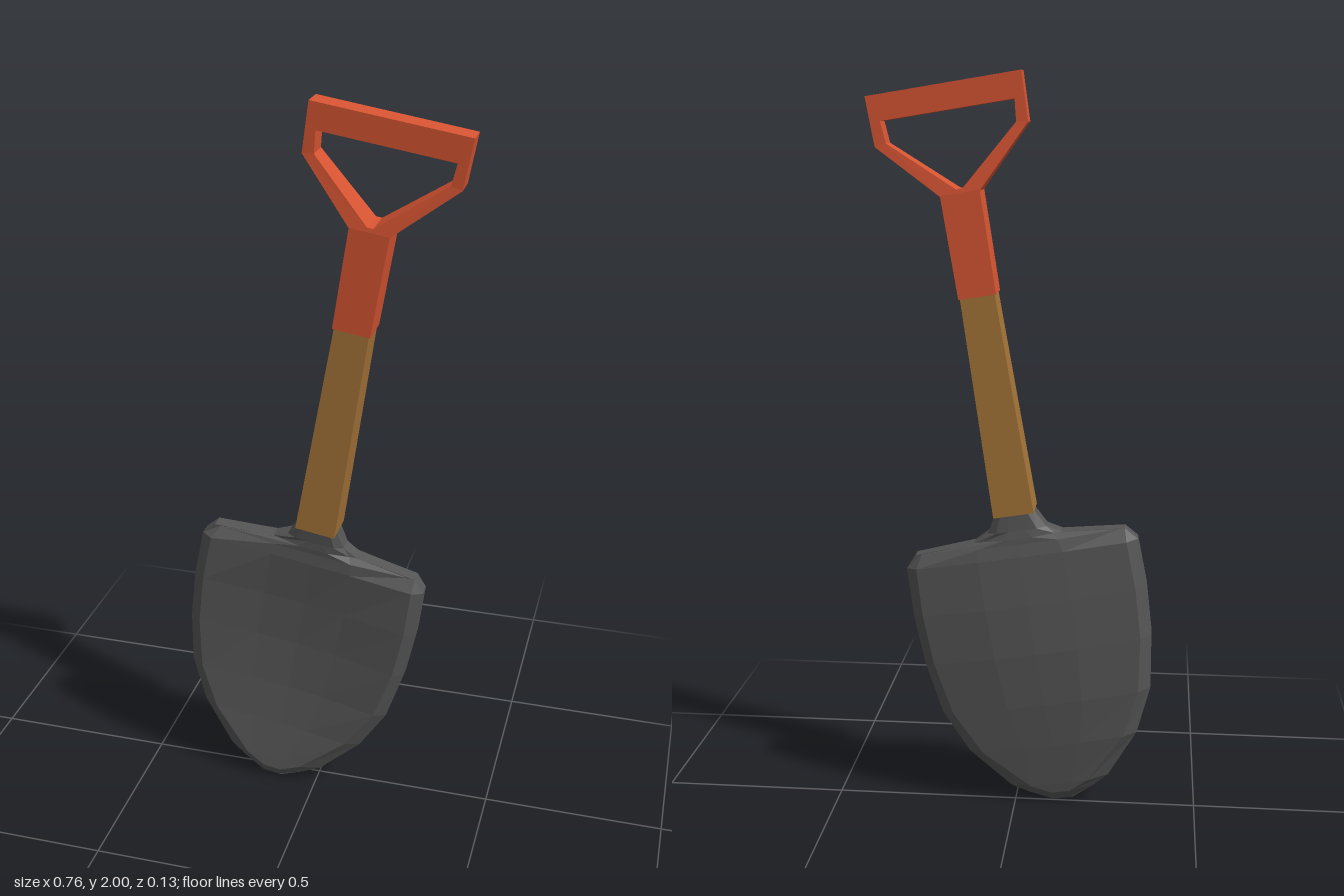
import * as THREE from 'three';

const paint = (color) => new THREE.MeshStandardMaterial({ color, flatShading: true });

// Joins equal-sized rings of points (counter-clockwise seen from above, bottom to top) and caps both ends
function loft(rings) {
  const n = rings[0].length;
  const index = [];
  for (let j = 0; j < rings.length - 1; j++) {
    for (let i = 0; i < n; i++) {
      const a = j * n + i, b = j * n + (i + 1) % n;
      index.push(a, b, b + n, a, b + n, a + n);
    }
  }
  const last = (rings.length - 1) * n;
  const half = n / 2;
  // Front half runs left to right, back half returns, so caps are strips between them
  for (let i = 0; i < half - 1; i++) {
    const f0 = i, f1 = i + 1, b0 = n - 1 - i, b1 = n - 2 - i;
    index.push(f0, b1, f1, f0, b0, b1);
    index.push(last + f0, last + f1, last + b1, last + f0, last + b1, last + b0);
  }
  const geometry = new THREE.BufferGeometry();
  geometry.setAttribute('position', new THREE.Float32BufferAttribute(rings.flat(2), 3));
  geometry.setIndex(index);
  const flat = geometry.toNonIndexed();
  flat.computeVertexNormals();
  return flat;
}

// Dished mid-surface of the blade
function dish(u, v) {
  const t = Math.min(1, (v + 0.845) / 0.84);
  const bow = Math.sin(Math.PI * t);
  return 0.025 - 0.025 * t + bow * (0.03 * (u / 0.32) ** 2 - 0.035);
}

function bladeGeometry() {
  // height, outer half width, inner half width, half thickness at rim / inner line / middle
  const rows = [
    [-0.847, 0.027, 0.02, 0.02, 0.02, 0.02],
    [-0.815, 0.092, 0.025, 0.02, 0.044, 0.044],
    [-0.787, 0.137, 0.08, 0.02, 0.045, 0.045],
    [-0.666, 0.236, 0.196, 0.02, 0.045, 0.045],
    [-0.54, 0.292, 0.258, 0.02, 0.045, 0.045],
    [-0.39, 0.316, 0.286, 0.02, 0.045, 0.045],
    [-0.25, 0.323, 0.293, 0.02, 0.045, 0.045],
    [-0.115, 0.318, 0.288, 0.02, 0.042, 0.045],
    [-0.081, 0.288, 0.27, 0.02, 0.02, 0.04],
    [-0.066, 0.12, 0.1, 0.02, 0.025, 0.04],
    [-0.045, 0.08, 0.055, 0.022, 0.036, 0.038],
    [0.005, 0.052, 0.036, 0.024, 0.038, 0.038],
  ];
  return loft(rows.map(([v, outer, inner, rim, line, mid]) => {
    const m = inner * 0.4;
    const section = [[-outer, rim], [-inner, line], [-m, mid], [0, mid], [m, mid], [inner, line], [outer, rim]];
    const front = section.map(([u, h]) => [u, v, dish(u, v) + h]);
    const back = section.map(([u, h]) => [u, v, dish(u, v) - h]).reverse();
    return [...front, ...back];
  }));
}

// Square post that may taper
function post(v0, v1, bottom, top) {
  return loft([[v0, ...bottom], [v1, ...top]].map(([v, w, d]) =>
    [[-w, v, d], [w, v, d], [w, v, -d], [-w, v, -d]]));
}

function handleGeometry() {
  const points = (list) => list.map(([x, y]) => new THREE.Vector2(x, y));
  const shape = new THREE.Shape(points([
    [-0.052, 0.86], [0.052, 0.86], [0.2, 1.01], [0.203, 1.139], [-0.203, 1.139], [-0.2, 1.01]]));
  shape.holes.push(new THREE.Path(points([
    [-0.008, 0.872], [-0.17, 1.015], [-0.175, 1.072], [0.175, 1.072], [0.17, 1.015], [0.008, 0.872]])));
  const geometry = new THREE.ExtrudeGeometry(shape, { depth: 0.066, bevelEnabled: false });
  geometry.translate(0, 0, -0.033);
  // Arms thicken towards the sleeve
  const p = geometry.attributes.position;
  for (let i = 0; i < p.count; i++) {
    const k = THREE.MathUtils.clamp((1.01 - p.getY(i)) / 0.15, 0, 1);
    p.setZ(i, p.getZ(i) * (1 + 0.5 * k));
  }
  geometry.computeVertexNormals();
  return geometry;
}

export function createModel() {
  const model = new THREE.Group();
  model.name = 'shovel';

  // Everything is built along an upright axis, then leaned sideways
  const leaning = new THREE.Group();
  leaning.name = 'leaningShovel';
  leaning.position.set(0.002, 0.845, 0);
  leaning.rotation.z = -0.161;
  model.add(leaning);

  const steel = paint(0x555555);
  const wood = paint(0xa37238);
  const red = paint(0xd65432);
  const add = (name, geometry, material, z = 0) => {
    const mesh = new THREE.Mesh(geometry, material);
    mesh.name = name;
    mesh.position.z = z;
    leaning.add(mesh);
  };

  add('blade', bladeGeometry(), steel);
  add('shaft', post(0, 0.6, [0.055, 0.053], [0.046, 0.046]), wood, 0.004);
  add('gripSleeve', post(0.592, 0.862, [0.05, 0.05], [0.052, 0.05]), red, 0.004);
  add('handle', handleGeometry(), red, 0.004);
  return model;
}
